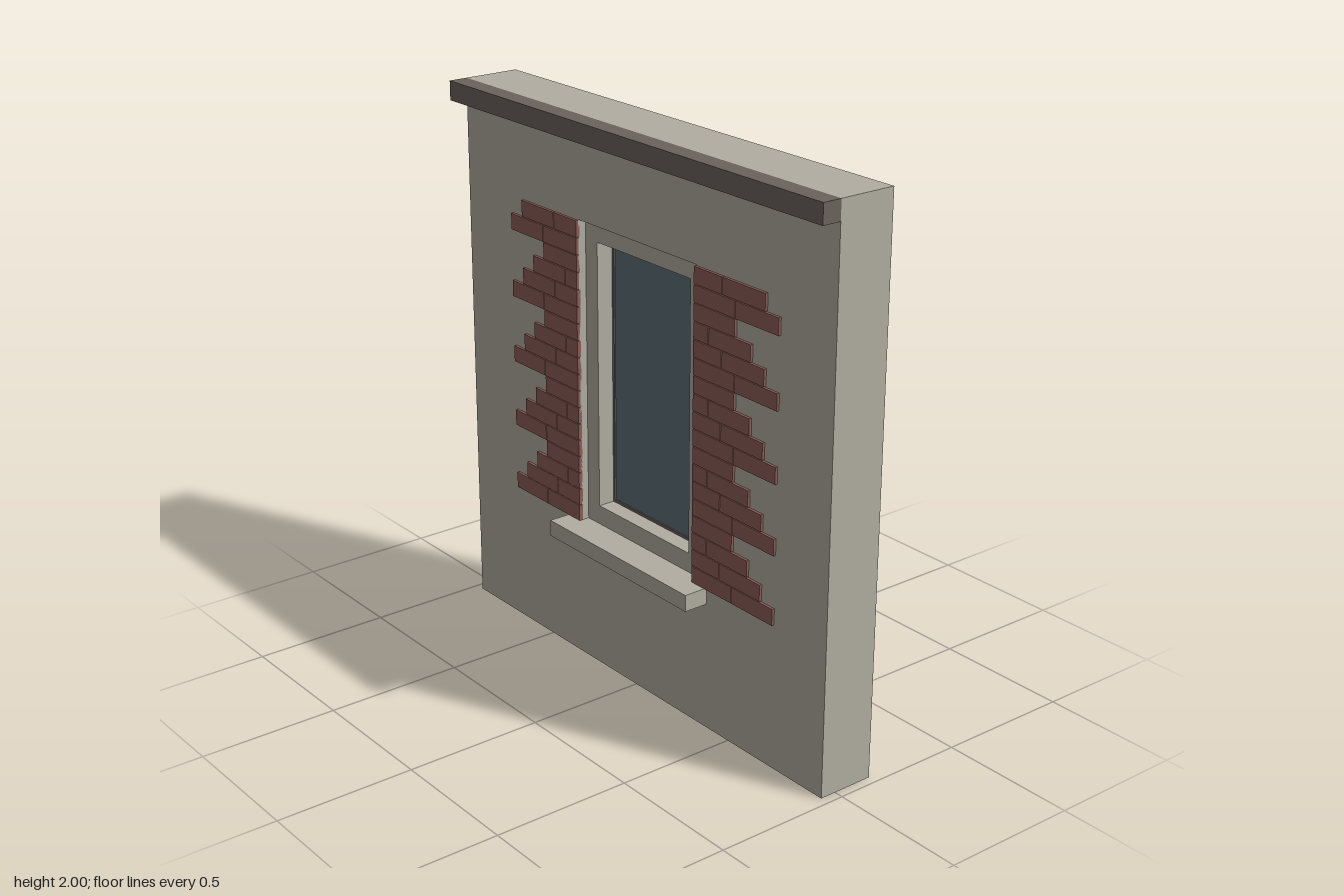
import * as THREE from 'three';

const material = (name, color) => {
  const m = new THREE.MeshStandardMaterial({ color });
  m.name = name;
  return m;
};

function box(name, mat, x0, x1, y0, y1, z0, z1) {
  const mesh = new THREE.Mesh(new THREE.BoxGeometry(x1 - x0, y1 - y0, z1 - z0), mat);
  mesh.position.set((x0 + x1) / 2, (y0 + y1) / 2, (z0 + z1) / 2);
  mesh.name = name;
  return mesh;
}

// Rectangular slab with a rectangular hole; o and i are [x0, x1, y0, y1]
function ring(name, mat, o, i, z0, z1) {
  const corners = ([x0, x1, y0, y1]) =>
    [[x0, y0], [x1, y0], [x1, y1], [x0, y1]].map(([x, y]) => new THREE.Vector2(x, y));
  const shape = new THREE.Shape(corners(o));
  shape.holes.push(new THREE.Path(corners(i).reverse()));
  const geo = new THREE.ExtrudeGeometry(shape, { depth: z1 - z0, bevelEnabled: false });
  geo.translate(0, 0, z0);
  const mesh = new THREE.Mesh(geo, mat);
  mesh.name = name;
  return mesh;
}

export function createModel() {
  const plaster = material('plaster', 0xb1ada2);
  const trim = material('dark trim', 0x6b625c);
  const brick = material('brick', 0x8c5c56);
  const glass = material('glass', 0x5d6e77);

  const model = new THREE.Group();
  model.name = 'windowWall';
  const W = 0.967, front = 0.06;
  const opening = [-0.313, 0.313, 0.525, 1.635];
  const inner = [-0.248, 0.248, 0.595, 1.565];
  const pane = [-0.238, 0.238, 0.605, 1.555];

  // Wall with window opening, cornice and sill
  model.add(ring('wall', plaster, [-W, W, 0, 2], opening, -0.15, front));
  model.add(box('cornice', trim, -W, W, 1.93, 2, front, 0.13));
  model.add(box('sill', plaster, -0.38, 0.38, 0.465, 0.525, front, 0.15));

  // Window: frame set back in the opening, thin sash, glass
  model.add(ring('windowFrame', plaster, opening, inner, -0.04, 0.03));
  model.add(ring('sash', trim, inner, pane, -0.051, -0.032));
  model.add(box('glassPane', glass, -0.246, 0.246, 0.597, 1.563, -0.053, -0.037));

  // Exposed brick patches: courses with stepped outer ends, repeating every four
  const courses = 18, h = (opening[3] - opening[2]) / courses, gap = 0.003;
  const sides = [
    { name: 'rightBricks', dir: -1, ends: [0.695, 0.63, 0.567, 0.505], length: 0.19 },
    { name: 'leftBricks', dir: 1, ends: [0.72, 0.657, 0.592, 0.515], length: 0.205 },
  ];
  for (const { name, dir, ends, length } of sides) {
    const patch = new THREE.Group();
    patch.name = name;
    for (let r = 0; r < courses; r++) {
      const y = opening[2] + r * h;
      let outer = ends[r % 4];
      while (outer > 0.33) {
        const next = outer - length < 0.34 ? 0.313 : outer - length;
        const near = next === 0.313 ? next : next + gap;
        const [x0, x1] = dir > 0 ? [near, outer] : [-outer, -near];
        patch.add(box('brick', brick, x0, x1, y, y + h - gap, front - 0.005, 0.07));
        outer = next;
      }
    }
    model.add(patch);
  }
  return model;
}
